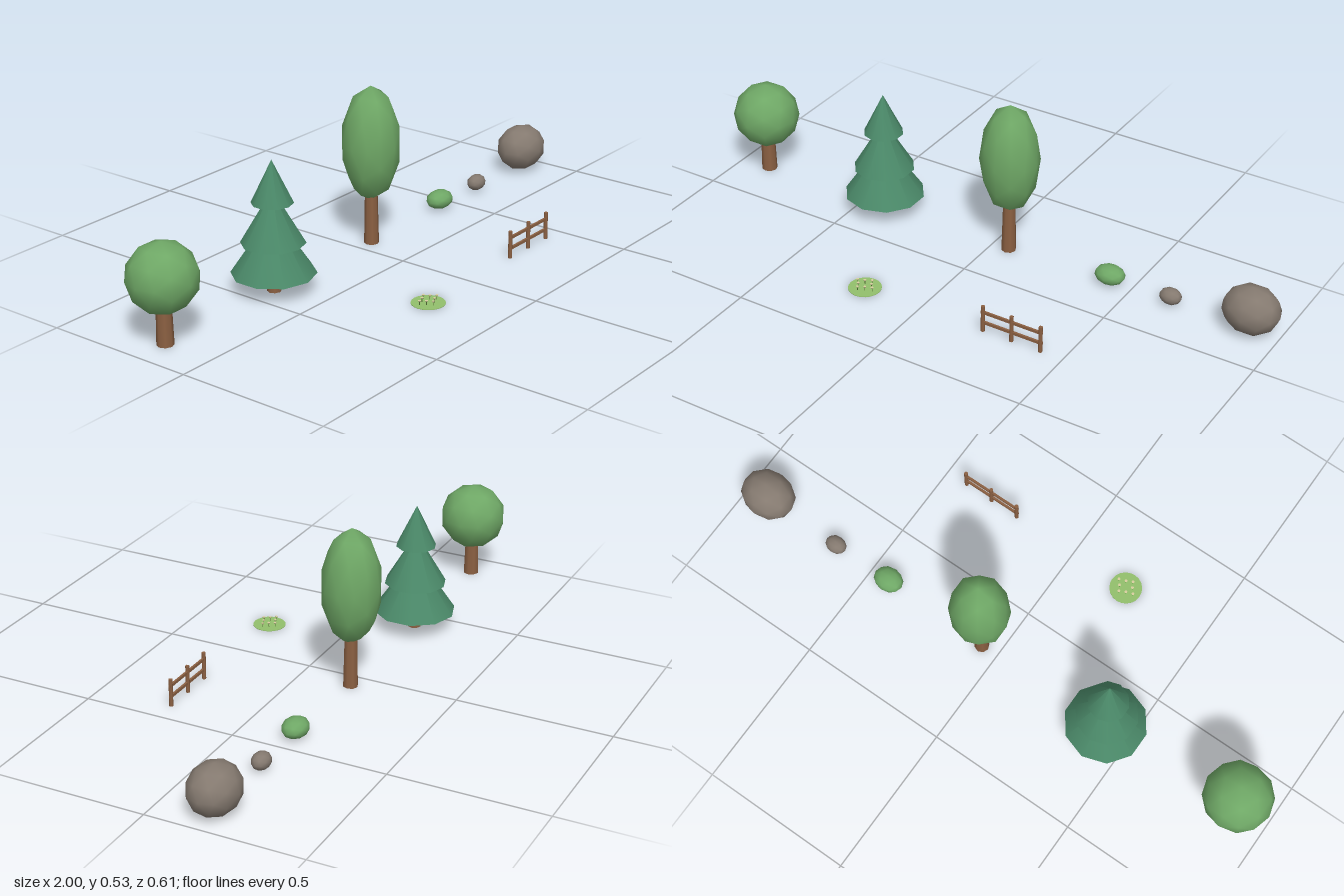
import * as THREE from 'three';

const mat = (color) => new THREE.MeshStandardMaterial({ color });
const LEAF = mat(0x6fa866), PINE = mat(0x4a8868), BARK = mat(0x8b6042), ROCK = mat(0x857a70);
const GRASS = mat(0x93c06c), STEM = mat(0x5d7a3c), PETAL = mat(0xd9cfa0);

function add(parent, name, geometry, material, x, y, z) {
  const mesh = new THREE.Mesh(geometry, material);
  mesh.name = name;
  mesh.position.set(x, y, z);
  parent.add(mesh);
  return mesh;
}

function group(parent, name, x, z) {
  const g = new THREE.Group();
  g.name = name;
  g.position.set(x, 0, z);
  parent.add(g);
  return g;
}

// Low-poly ellipsoid with smooth normals
function blob(parent, name, material, y, rx, ry, rz) {
  const geo = new THREE.IcosahedronGeometry(1, 1).scale(rx, ry, rz);
  return add(parent, name, geo, material, 0, y, 0);
}

function trunk(parent, rTop, rBottom, h) {
  add(parent, 'trunk', new THREE.CylinderGeometry(rTop, rBottom, h, 8), BARK, 0, h / 2, 0);
}

export function createModel() {
  const model = new THREE.Group();
  model.name = 'gardenSet';
  const back = -0.172, front = 0.252;

  // Round tree
  const round = group(model, 'roundTree', -0.89, back);
  trunk(round, 0.023, 0.026, 0.13);
  blob(round, 'crown', LEAF, 0.21, 0.11, 0.11, 0.11);

  // Pine with three overlapping tiers: radius, base height, tier height
  const pine = group(model, 'pineTree', -0.415, back);
  trunk(pine, 0.02, 0.022, 0.1);
  [[0.132, 0.06, 0.196], [0.1, 0.158, 0.17], [0.065, 0.286, 0.136]].forEach(([r, y, h], i) =>
    add(pine, `tier${i + 1}`, new THREE.ConeGeometry(r, h, 10), PINE, 0, y + h / 2, 0));

  // Tall oval tree
  const oval = group(model, 'ovalTree', 0.06, back);
  trunk(oval, 0.02, 0.024, 0.19);
  blob(oval, 'crown', LEAF, 0.337, 0.097, 0.19, 0.094);

  // Bush and rocks
  blob(group(model, 'bush', 0.427, back), 'leaves', LEAF, 0.034, 0.051, 0.031, 0.041);
  blob(group(model, 'smallRock', 0.638, back), 'stone', ROCK, 0.03, 0.037, 0.027, 0.029);
  blob(group(model, 'largeRock', 0.906, back), 'stone', ROCK, 0.081, 0.094, 0.079, 0.079);

  // Flower patch
  const patch = group(model, 'flowerPatch', -0.206, front);
  add(patch, 'ground', new THREE.CylinderGeometry(0.053, 0.053, 0.002, 20), GRASS, 0, 0.001, 0);
  for (let i = 0; i < 8; i++) {
    const a = (i / 8) * Math.PI * 2 + 0.3, r = i % 2 ? 0.022 : 0.034;
    const x = Math.cos(a) * r, z = Math.sin(a) * r * 0.8;
    add(patch, 'stem', new THREE.CylinderGeometry(0.001, 0.001, 0.013, 5), STEM, x, 0.0075, z);
    add(patch, 'flowerHead', new THREE.CylinderGeometry(0.005, 0.003, 0.004, 6), PETAL, x, 0.015, z);
  }

  // Fence
  const fence = group(model, 'fence', 0.324, front);
  for (const x of [-0.1, 0, 0.1])
    add(fence, 'post', new THREE.CylinderGeometry(0.0065, 0.0065, 0.09, 8), BARK, x, 0.045, 0);
  for (const y of [0.032, 0.068])
    add(fence, 'rail', new THREE.BoxGeometry(0.213, 0.009, 0.007), BARK, 0, y, 0);

  return model;
}
